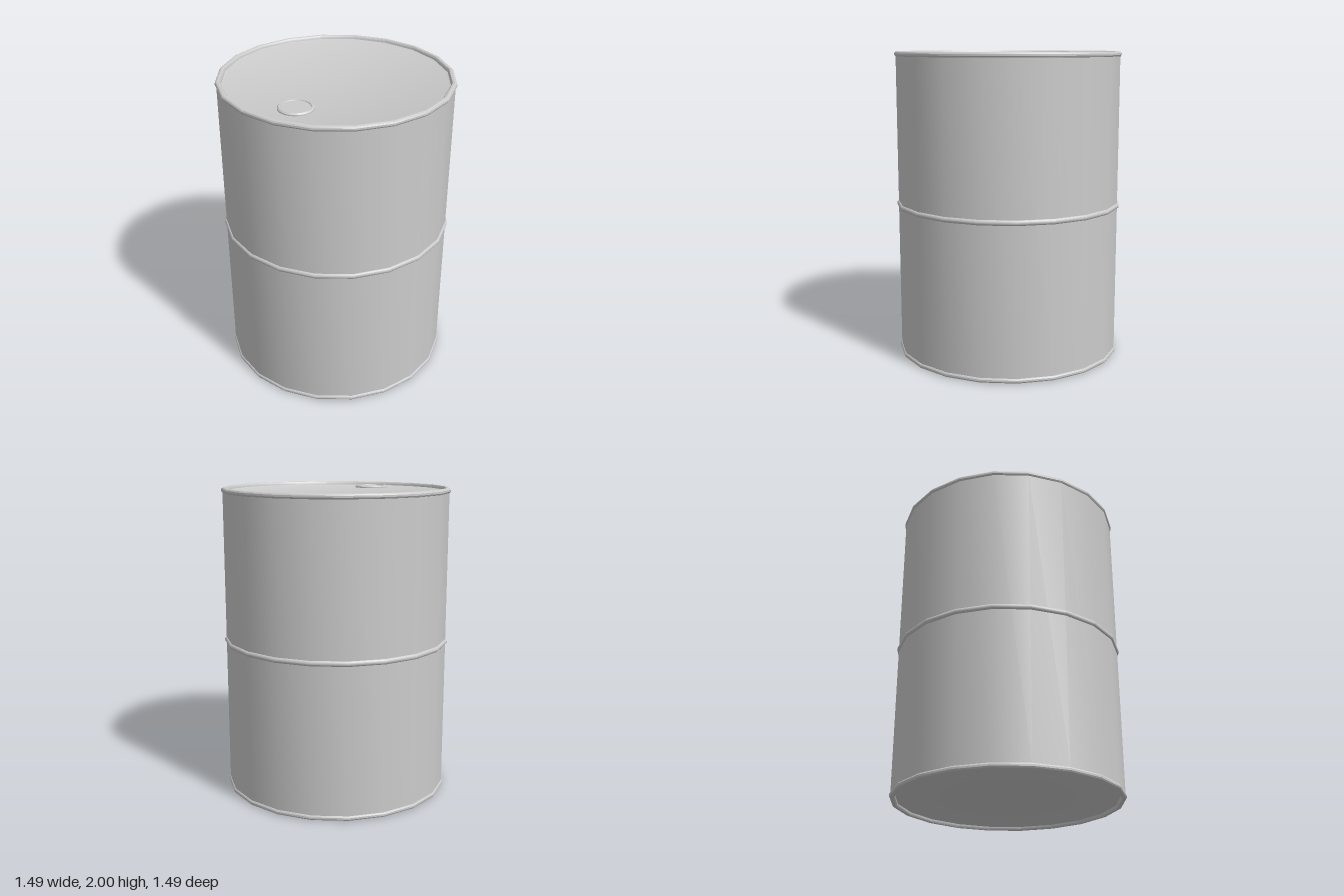
import * as THREE from 'three';
import { toCreasedNormals } from 'three/addons/utils/BufferGeometryUtils.js';

const SIDES = 20;
const material = new THREE.MeshStandardMaterial({ color: 0xcccccc });

// Turned part from [radius, height] pairs, listed bottom to top on the outside
function turned(name, profile, sides = SIDES) {
  const points = profile.map(([r, y]) => new THREE.Vector2(r, y));
  const geometry = toCreasedNormals(new THREE.LatheGeometry(points, sides), 0.5);
  const mesh = new THREE.Mesh(geometry, material);
  mesh.name = name;
  return mesh;
}

// Rolled edge plus the recessed end plate, as seen at the top of the drum
const endProfile = [
  [0.727, 1.965], [0.735, 1.969], [0.74, 1.977], [0.74, 1.988], [0.735, 1.996],
  [0.725, 2], [0.712, 1.998], [0.706, 1.99], [0.704, 1.978], [0.69, 1.973], [0, 1.973],
];

export function createModel() {
  const drum = new THREE.Group();
  drum.name = 'drum';

  // Side wall
  drum.add(turned('wall', [[0.732, 0.025], [0.732, 1.975]]));

  // Top and bottom ends, mirrored about mid height
  drum.add(turned('topEnd', endProfile));
  drum.add(turned('bottomEnd', endProfile.map(([r, y]) => [r, 2 - y]).reverse()));

  // Raised hoop around the middle
  const hoop = [];
  for (let i = 0; i <= 6; i++) {
    const a = -Math.PI / 2 + (i / 6) * Math.PI;
    hoop.push([0.728 + 0.016 * Math.cos(a), 1.004 + 0.018 * Math.sin(a)]);
  }
  drum.add(turned('middleHoop', hoop));

  // Filler cap near the front of the lid: raised collar with a sunken plug
  const cap = turned('fillerCap', [
    [0.109, 0], [0.109, 0.008], [0.101, 0.016], [0.09, 0.016], [0.087, 0.01], [0, 0.01],
  ], 32);
  cap.position.set(0, 1.972, 0.49);
  drum.add(cap);

  return drum;
}
